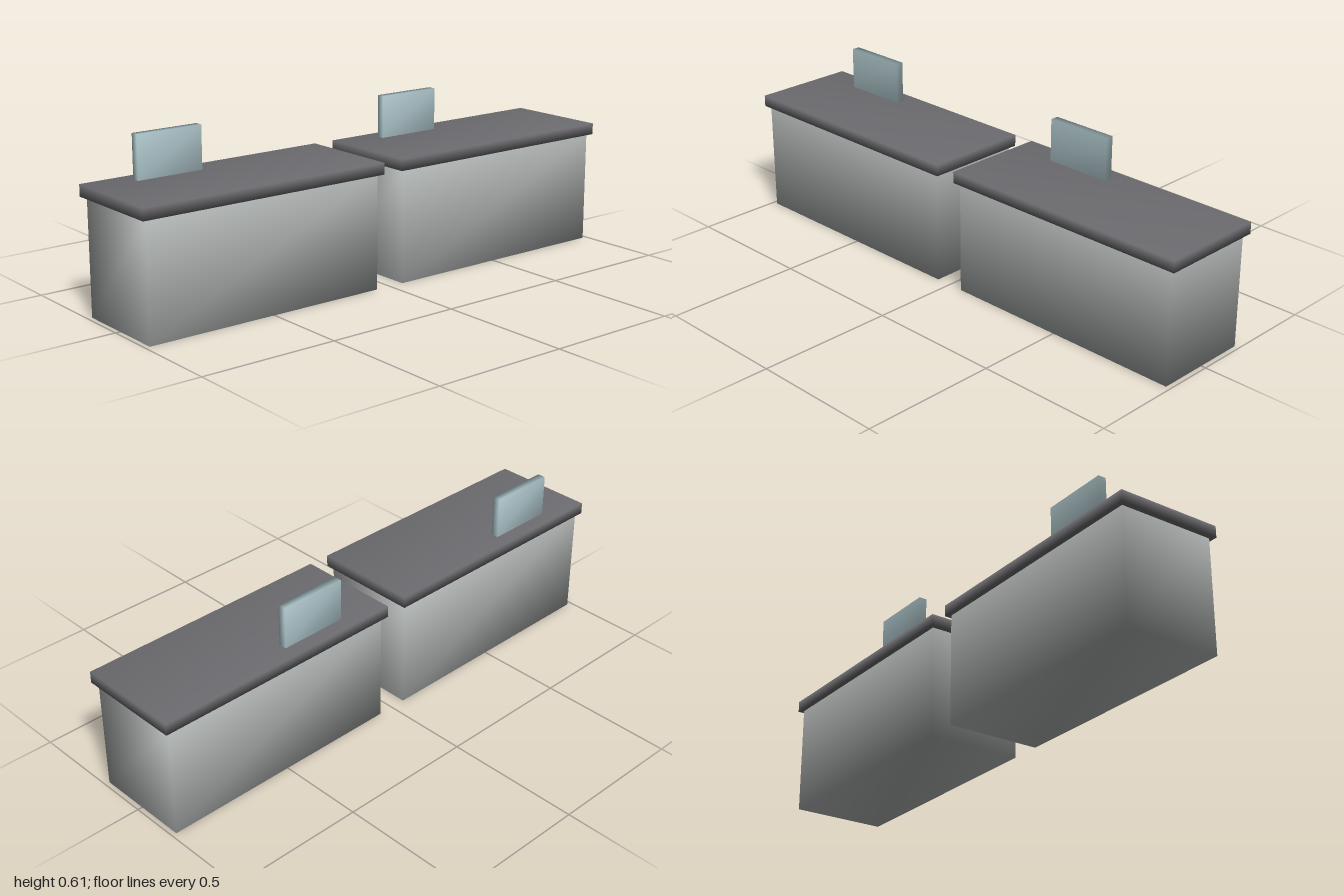
import * as THREE from 'three';
import { mergeVertices } from 'three/addons/utils/BufferGeometryUtils.js';

const material = (color) => new THREE.MeshStandardMaterial({ color });

// Box standing on y, with corners welded so the shading runs softly over the edges
function softBox(name, [w, h, d], [x, y, z], mat) {
  const box = new THREE.BoxGeometry(w, h, d);
  box.deleteAttribute('normal');
  box.deleteAttribute('uv');
  const geometry = mergeVertices(box);
  geometry.computeVertexNormals();
  const mesh = new THREE.Mesh(geometry, mat);
  mesh.name = name;
  mesh.position.set(x, y + h / 2, z);
  return mesh;
}

export function createModel() {
  const model = new THREE.Group();
  model.name = 'counterPair';
  const bodyMat = material(0xa9adab);
  const topMat = material(0x6c6c70);
  const screenMat = material(0xa9c0c5);

  // Two identical counters side by side, each with a screen off-centre at the back
  for (const [name, x] of [['rightCounter', -0.52], ['leftCounter', 0.52]]) {
    const counter = new THREE.Group();
    counter.name = name;
    counter.position.x = x;
    counter.add(
      softBox('counterBody', [0.925, 0.413, 0.36], [0, 0, 0], bodyMat),
      softBox('counterTop', [0.96, 0.042, 0.39], [0, 0.413, 0], topMat),
      softBox('screen', [0.25, 0.155, 0.03], [-0.185, 0.455, -0.126], screenMat),
    );
    model.add(counter);
  }
  return model;
}
